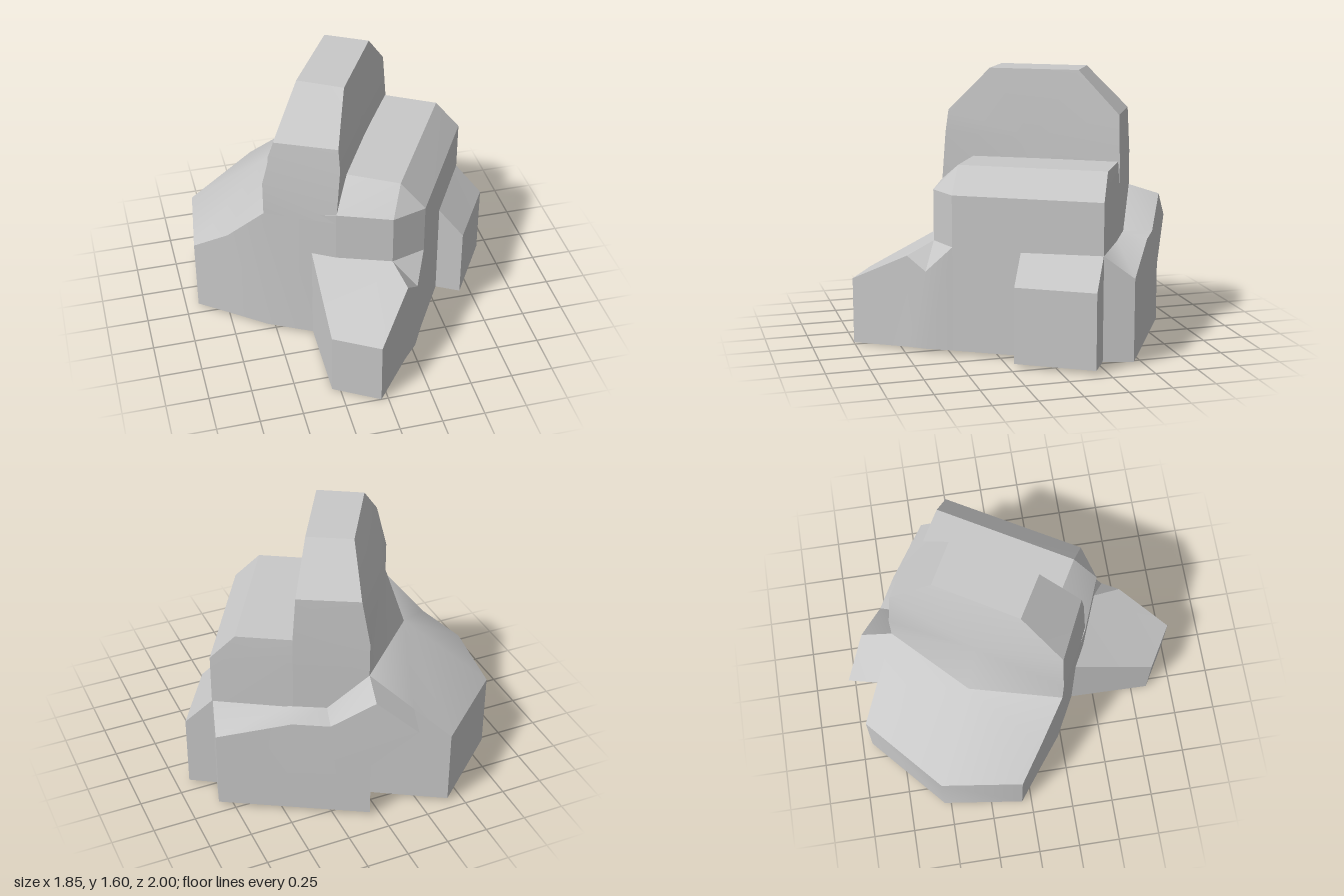
import * as THREE from 'three';
import { toCreasedNormals } from 'three/addons/utils/BufferGeometryUtils.js';

const stone = new THREE.MeshStandardMaterial({ color: 0xc8c8c8 });
stone.name = 'light grey stone';

const average = (ring) => [0, 1, 2].map((k) => ring.reduce((s, p) => s + p[k], 0) / ring.length);
// Ring at constant height from [x, z] pairs
const level = (y, outline) => outline.map(([x, z]) => [x, y, z]);

// Closed rock: joins cross-sections, then caps both ends with fans round a centre point
function rock(name, rings, { crease = 0.45, start = average(rings[0]), end = average(rings.at(-1)) } = {}) {
  const tris = [];
  const n = rings[0].length;
  for (let r = 0; r + 1 < rings.length; r++) {
    for (let i = 0; i < n; i++) {
      const j = (i + 1) % n;
      const [a, b, c, d] = [rings[r][i], rings[r][j], rings[r + 1][j], rings[r + 1][i]];
      tris.push([a, b, c], [a, c, d]);
    }
  }
  const first = rings[0], last = rings.at(-1);
  for (let i = 0; i < n; i++) {
    const j = (i + 1) % n;
    tris.push([start, first[j], first[i]], [end, last[i], last[j]]);
  }
  // Signed volume tells whether the faces point outwards
  const v = (p) => new THREE.Vector3(...p);
  const volume = tris.reduce((s, [a, b, c]) => s + v(a).dot(v(b).cross(v(c))), 0);
  const points = tris.flatMap(([a, b, c]) => (volume < 0 ? [a, c, b] : [a, b, c])).flat();
  const geometry = new THREE.BufferGeometry();
  geometry.setAttribute('position', new THREE.Float32BufferAttribute(points, 3));
  const mesh = new THREE.Mesh(toCreasedNormals(geometry, crease), stone);
  mesh.name = name;
  return mesh;
}

export function createModel() {
  const group = new THREE.Group();
  group.name = 'rockFormation';

  // Tall slab with chamfered top and a bulging outer face
  const slabRight = [
    [-0.165, 0.87, 0.43], [-0.135, 1.22, 0.41], [-0.14, 1.35, 0.39], [-0.05, 1.6, 0.16],
    [0.215, 1.6, -0.3], [0.36, 1.35, -0.5], [0.38, 1.08, -0.5], [0.38, 0.87, -0.5], [0.11, 0.87, -0.04],
  ];
  const slabLeft = [
    [-0.545, 0.87, 0.23], [-0.545, 1.08, 0.23], [-0.475, 1.35, 0.23], [-0.29, 1.6, 0.02],
    [-0.02, 1.6, -0.43], [0.04, 1.35, -0.67], [0, 1.08, -0.7], [0, 0.87, -0.7], [-0.41, 0.88, -0.3],
  ];
  group.add(rock('tallSlab', [slabRight, slabLeft], { crease: 0.6, end: [-0.3, 1.25, -0.24] }));

  // Core beneath the slab
  const core = [[-0.165, 0.43], [0.38, -0.5], [0, -0.7], [-0.3, 0.2]];
  group.add(rock('slabBase', [level(0.02, core), level(0.87, core)]));

  // Stepped ledge beside the slab, bevelled at the top
  const ledge = [[-0.165, 0.43], [0.14, 0.55], [0.345, 0.49], [0.785, -0.265], [0.38, -0.5]];
  const ledgeTop = [[-0.06, 0.26], [0.215, 0.42], [0.215, 0.42], [0.655, -0.33], [0.36, -0.5]];
  group.add(rock('ledge', [level(0.02, ledge), level(0.93, ledge), level(1.08, ledgeTop)]));

  // Broad sloping side lobe
  const lobeTop = [
    [-0.925, 0.48, -0.06], [-0.86, 0.48, -0.54], [-0.41, 0.48, -0.94], [-0.22, 0.66, -0.83],
    [0, 0.87, -0.7], [-0.165, 0.93, 0.43], [-0.545, 0.87, 0.23], [-0.74, 0.63, 0.08],
  ];
  const lobeBottom = lobeTop.map(([x, , z]) => [x, 0.02, z]);
  group.add(rock('sideLobe', [lobeBottom, lobeTop], { crease: 0.8, end: [-0.41, 0.88, -0.3] }));

  // Sloping front spur with a small bevelled corner
  const spurTop = [
    [-0.295, 0.63, 0.36], [-0.295, 0.39, 0.85], [-0.04, 0.39, 1], [0.185, 0.56, 0.72],
    [0.27, 0.48, 0.63], [0.345, 0.63, 0.49],
  ];
  const spurHeights = [0.02, 0, 0, 0.015, 0.02, 0.02];
  const spurBottom = spurTop.map(([x, , z], i) => [x, spurHeights[i], z]);
  group.add(rock('frontSpur', [spurBottom, spurTop], { end: [0.14, 0.63, 0.55] }));

  // Small block with a slanted top
  const block = [[0.54, 0.14], [0.68, 0.22], [0.925, -0.18], [0.785, -0.265]];
  const blockHeights = [0.63, 0.46, 0.46, 0.63];
  group.add(rock('sideBlock', [level(0.02, block), block.map(([x, z], i) => [x, blockHeights[i], z])]));

  // Rear terrace with a crest and an overhanging end
  const terraceInner = [
    [-0.22, 0.66, -0.83], [0, 0.87, -0.7], [0.21, 0.63, -0.59], [0.4, 0.63, -0.48],
    [0.78, 0.63, -0.265], [0.78, 0.02, -0.265], [0, 0.02, -0.7], [0, 0.37, -0.7],
  ];
  const terraceOuter = [
    [-0.17, 0.63, -1], [0.04, 0.81, -0.88], [0.26, 0.63, -0.755], [0.45, 0.63, -0.65],
    [0.83, 0.5, -0.435], [0.83, 0.02, -0.435], [0.06, 0.02, -0.87], [0.06, 0.37, -0.87],
  ];
  group.add(rock('rearTerrace', [terraceInner, terraceOuter],
    { crease: 0.65, start: [0.25, 0.4, -0.56], end: [0.3, 0.4, -0.735] }));

  return group;
}
